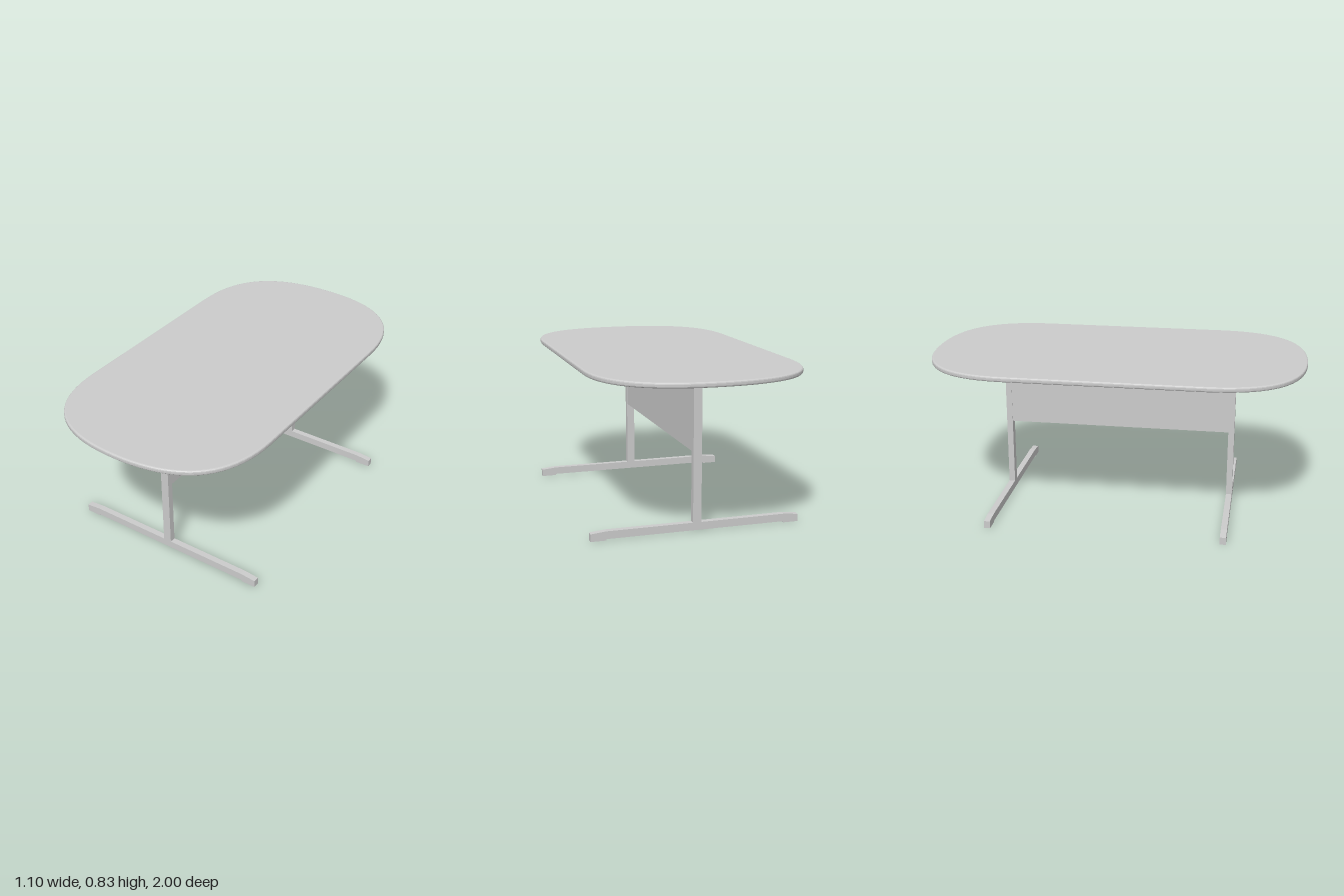
import * as THREE from 'three';

const material = new THREE.MeshStandardMaterial({ color: 0xcccccc });

function addMesh(parent, name, geometry, x = 0, y = 0, z = 0) {
  const mesh = new THREE.Mesh(geometry, material);
  mesh.name = name;
  mesh.position.set(x, y, z);
  parent.add(mesh);
  return mesh;
}

function addBox(parent, name, w, h, d, x, y, z) {
  return addMesh(parent, name, new THREE.BoxGeometry(w, h, d), x, y, z);
}

// Rounded oblong top with a softened rim
function tabletopGeometry() {
  const W = 0.547, L = 1, S = 0.5; // half width, half length, end of straight side
  const shape = new THREE.Shape();
  shape.moveTo(W, -S);
  shape.lineTo(W, S);
  shape.bezierCurveTo(W, 0.85, 0.35, L, 0, L);
  shape.bezierCurveTo(-0.35, L, -W, 0.85, -W, S);
  shape.lineTo(-W, -S);
  shape.bezierCurveTo(-W, -0.85, -0.35, -L, 0, -L);
  shape.bezierCurveTo(0.35, -L, W, -0.85, W, -S);
  const bevel = 0.009;
  const geometry = new THREE.ExtrudeGeometry(shape, {
    depth: 0.027 - 2 * bevel,
    bevelThickness: bevel,
    bevelSize: bevel,
    bevelOffset: -bevel,
    bevelSegments: 3,
    curveSegments: 20,
  });
  geometry.translate(0, 0, bevel);
  return geometry.rotateX(-Math.PI / 2);
}

// Foot bar with tapered ends resting on low pads
function footGeometry(depth) {
  const half = [[0.47, 0.007], [0.47, 0], [0.55, 0], [0.55, 0.039], [0.47, 0.047]];
  const mirrored = half.map(([x, y]) => [-x, y]).reverse();
  const shape = new THREE.Shape([...half, ...mirrored].map(([x, y]) => new THREE.Vector2(x, y)));
  const geometry = new THREE.ExtrudeGeometry(shape, { depth, bevelEnabled: false });
  return geometry.translate(0, 0, -depth / 2);
}

export function createModel() {
  const model = new THREE.Group();
  model.name = 'table';

  const topBase = 0.804, legDepth = 0.032, legZ = 0.616, footTop = 0.047;
  addMesh(model, 'tabletop', tabletopGeometry(), 0, topBase, 0);

  // T-shaped legs at both ends
  for (const side of [1, -1]) {
    const leg = new THREE.Group();
    leg.name = side > 0 ? 'frontLeg' : 'backLeg';
    leg.position.z = side * legZ;
    model.add(leg);
    const h = topBase - footTop;
    addBox(leg, 'post', 0.044, h, legDepth, 0, footTop + h / 2, 0);
    addMesh(leg, 'foot', footGeometry(legDepth));
  }

  // Panel joining the posts under the top
  const panelBase = 0.41, panelHeight = topBase - panelBase;
  addBox(model, 'panel', 0.04, panelHeight, 2 * legZ - legDepth, 0, panelBase + panelHeight / 2, 0);

  return model;
}
